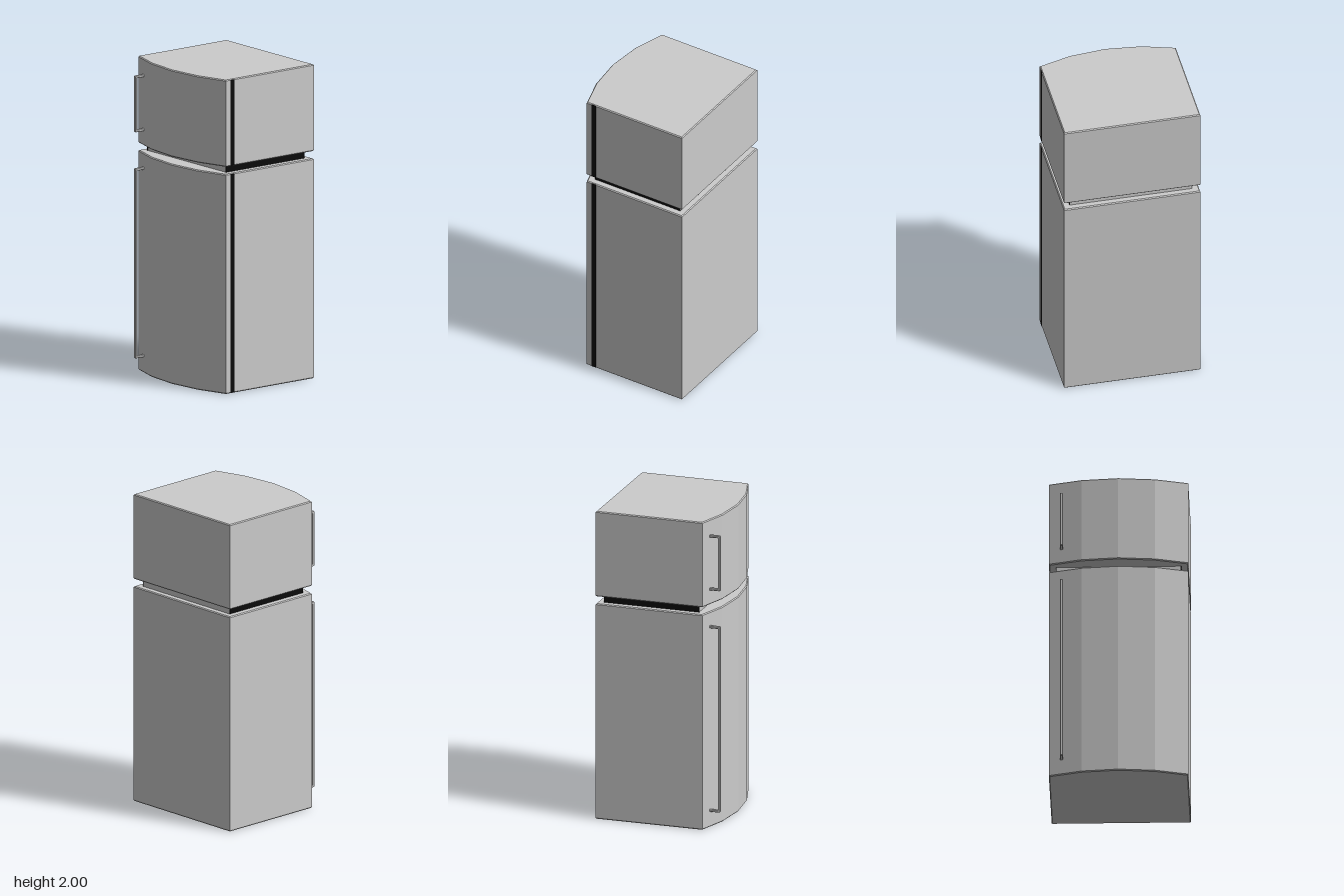
import * as THREE from 'three';

const grey = new THREE.MeshStandardMaterial({ color: 0xcccccc, flatShading: true });
const black = new THREE.MeshStandardMaterial({ color: 0x0a0a0a, flatShading: true });

function addMesh(parent, name, geometry, material) {
  const mesh = new THREE.Mesh(geometry, material);
  mesh.name = name;
  parent.add(mesh);
  return mesh;
}

function addBox(parent, name, min, max, material) {
  const size = max.map((v, i) => v - min[i]);
  const mesh = addMesh(parent, name, new THREE.BoxGeometry(...size), material);
  mesh.position.set(...min.map((v, i) => (v + max[i]) / 2));
  return mesh;
}

// Extrusion whose small bevel stays inside the given outline and depth
function bevelled(points, depth, bevel) {
  const shape = new THREE.Shape(points.map(([x, y]) => new THREE.Vector2(x, y)));
  return new THREE.ExtrudeGeometry(shape, {
    depth: depth - 2 * bevel, bevelEnabled: true, bevelSegments: 1,
    bevelSize: bevel, bevelThickness: bevel, bevelOffset: -bevel,
  }).translate(0, 0, bevel);
}

// Plan of a compartment: square back and sides, bowed door on -x
const plan = [
  [0.395, -0.433], [0.395, 0.433], [-0.307, 0.433], [-0.369, 0.228],
  [-0.392, 0], [-0.369, -0.228], [-0.307, -0.433],
];

function compartment(name, y0, y1) {
  const group = new THREE.Group();
  group.name = name;
  const body = bevelled(plan, y1 - y0, 0.006).rotateX(-Math.PI / 2).translate(0, y0, 0);
  addMesh(group, 'cabinet', body, grey);
  // Dark door seal on the hinge side
  addBox(group, 'doorSeal', [-0.27, y0 + 0.004, 0.42], [-0.24, y1 - 0.004, 0.434], black);
  return group;
}

// C-shaped bar handle reaching back into the door
function handle(name, y0, y1) {
  const t = 0.016, out = -0.4, root = -0.315;
  const points = [
    [root, y0], [out + 0.005, y0], [out, y0 + 0.005], [out, y1 - 0.005], [out + 0.005, y1], [root, y1],
    [root, y1 - t], [out + t, y1 - t], [out + t, y0 + t], [root, y0 + t],
  ];
  const mesh = new THREE.Mesh(bevelled(points, 0.018, 0.003), grey);
  mesh.name = name;
  mesh.position.z = -0.362;
  return mesh;
}

export function createModel() {
  const model = new THREE.Group();
  model.name = 'refrigerator';

  model.add(compartment('fridgeCompartment', 0, 1.4));
  model.add(compartment('freezerCompartment', 1.447, 2));
  model.add(handle('fridgeHandle', 0.1, 1.31));
  model.add(handle('freezerHandle', 1.54, 1.9));

  // Recessed neck between the compartments, dark on its two sides
  addBox(model, 'neck', [-0.27, 1.39, -0.388], [0.355, 1.457, 0.388], grey);
  for (const s of [-1, 1]) {
    const z = [s * 0.385, s * 0.39].sort((a, b) => a - b);
    addBox(model, 'neckSeal', [-0.272, 1.395, z[0]], [0.354, 1.452, z[1]], black);
  }
  return model;
}
